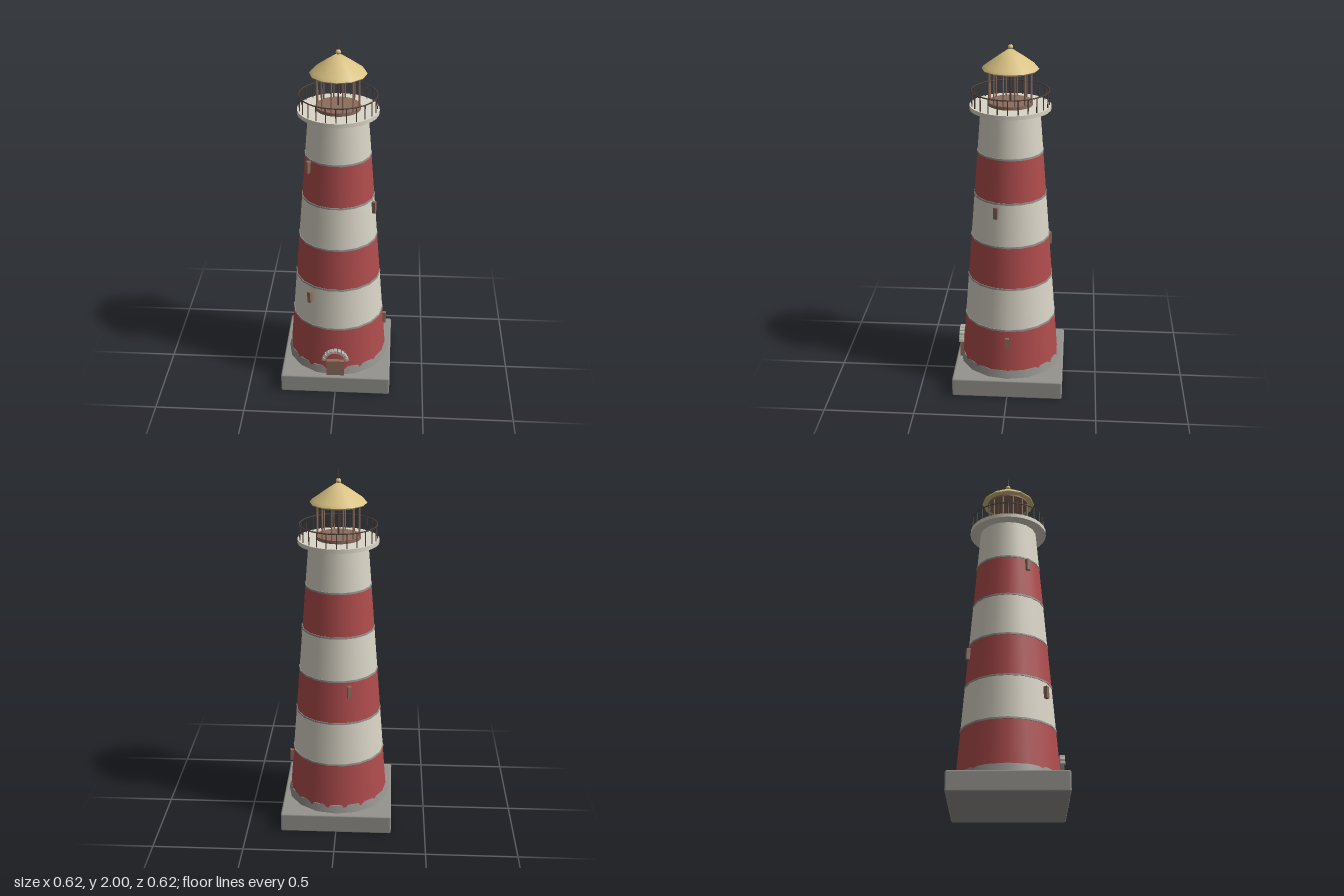
import * as THREE from 'three';
import { RoundedBoxGeometry } from 'three/addons/geometries/RoundedBoxGeometry.js';
import { toCreasedNormals } from 'three/addons/utils/BufferGeometryUtils.js';

const paint = (name, color) => {
  const m = new THREE.MeshStandardMaterial({ color });
  m.name = name;
  return m;
};

export function createModel() {
  const stone = paint('stone grey', 0x94938d);
  const paleStone = paint('pale stone', 0xb3b2a8);
  const red = paint('red paint', 0xb04c4d);
  const cream = paint('cream paint', 0xdad5c7);
  const gold = paint('roof gold', 0xd9c283);
  const wood = paint('brown wood', 0x8c6c5c);
  const iron = paint('dark iron', 0x50433c);

  const model = new THREE.Group();
  model.name = 'lighthouse';

  const add = (name, geometry, material, x = 0, y = 0, z = 0, parent = model) => {
    const mesh = new THREE.Mesh(geometry, material);
    mesh.name = name;
    mesh.position.set(x, y, z);
    parent.add(mesh);
    return mesh;
  };
  const group = (name) => {
    const g = new THREE.Group();
    g.name = name;
    model.add(g);
    return g;
  };
  // Cylinder given by its bottom and top heights
  const drum = (name, material, rBottom, rTop, y0, y1, sides, parent = model, x = 0, z = 0) =>
    add(name, new THREE.CylinderGeometry(rTop, rBottom, y1 - y0, sides), material, x, (y0 + y1) / 2, z, parent);
  const lathe = (points, sides, crease) => toCreasedNormals(
    new THREE.LatheGeometry(points.map(([r, y]) => new THREE.Vector2(r, y)), sides), crease);

  // Plinth and round footing
  add('plinth', new RoundedBoxGeometry(0.62, 0.11, 0.62, 1, 0.01), stone, 0, 0.055, 0);
  drum('footing', stone, 0.288, 0.277, 0.108, 0.155, 16);

  // Tapered tower in six bands, with a thin collar at each joint
  const towerRadius = (y) => 0.275 - 0.079 * (y - 0.155);
  const levels = [0.14, 0.4, 0.645, 0.888, 1.133, 1.377, 1.612];
  const tower = group('tower');
  for (let i = 0; i < 6; i++) {
    const [y0, y1] = [levels[i], levels[i + 1]];
    const band = drum('towerBand', i % 2 ? cream : red, towerRadius(y0), towerRadius(y1), y0, y1, 18, tower);
    band.rotation.y = Math.PI / 18;
    if (i > 0) {
      const collar = drum('bandCollar', stone, towerRadius(y0) + 0.004, towerRadius(y0) + 0.003, y0 - 0.005, y0 + 0.005, 18, tower);
      collar.rotation.y = Math.PI / 18;
    }
  }

  // Slit windows climbing the tower in a spiral
  for (let i = 0; i < 5; i++) {
    const y = 0.325 + i * 0.2525;
    const angle = i * 2.2;
    const r = towerRadius(y) + 0.006;
    const slit = add('slitWindow', new THREE.BoxGeometry(0.022, 0.066, 0.022), wood,
      Math.cos(angle) * r, y, Math.sin(angle) * r);
    slit.rotation.y = Math.PI / 2 - angle;
  }

  // Door with an arch of separate stones
  add('door', new THREE.BoxGeometry(0.1, 0.096, 0.03), wood, 0, 0.157, 0.275);
  const arch = group('doorArch');
  for (let i = 0; i < 9; i++) {
    const a = 0.24 + (Math.PI - 0.48) * i / 8;
    const block = add('archStone', new RoundedBoxGeometry(0.02, 0.021, 0.027, 1, 0.003), paleStone,
      Math.cos(a) * 0.065, 0.205 + Math.sin(a) * 0.065, 0.281, arch);
    block.rotation.z = a;
  }

  // Gallery deck and railing
  drum('galleryDeck', cream, 0.218, 0.218, 1.608, 1.63, 32);
  const railing = group('railing');
  const rail = add('handrail', new THREE.TorusGeometry(0.207, 0.0035, 6, 32), iron, 0, 1.708, 0, railing);
  rail.rotation.x = Math.PI / 2;
  for (let i = 0; i < 24; i++) {
    const a = i * Math.PI / 12;
    drum('railPost', iron, 0.003, 0.003, 1.628, 1.708, 6, railing, Math.cos(a) * 0.207, Math.sin(a) * 0.207);
  }

  // Open lantern room
  const lantern = group('lanternRoom');
  drum('lanternFloor', wood, 0.12, 0.12, 1.628, 1.648, 24, lantern);
  drum('lanternCeiling', wood, 0.12, 0.12, 1.81, 1.822, 24, lantern);
  drum('lampPole', iron, 0.005, 0.005, 1.645, 1.812, 8, lantern);
  for (let i = 0; i < 12; i++) {
    const a = (i + 0.5) * Math.PI / 6;
    drum('lanternPost', wood, 0.0045, 0.0045, 1.645, 1.812, 6, lantern, Math.cos(a) * 0.115, Math.sin(a) * 0.115);
  }

  // Twelve-sided roof with ball and spike
  add('roof', lathe([[0, 1.82], [0.149, 1.82], [0.152, 1.825], [0.138, 1.841], [0.07, 1.889], [0.009, 1.929], [0, 1.929]], 12, 0.6), gold);
  add('finialBall', new THREE.SphereGeometry(0.014, 12, 8), gold, 0, 1.938, 0);
  drum('finialSpike', iron, 0.0045, 0.002, 1.945, 2.0, 6);

  return model;
}
